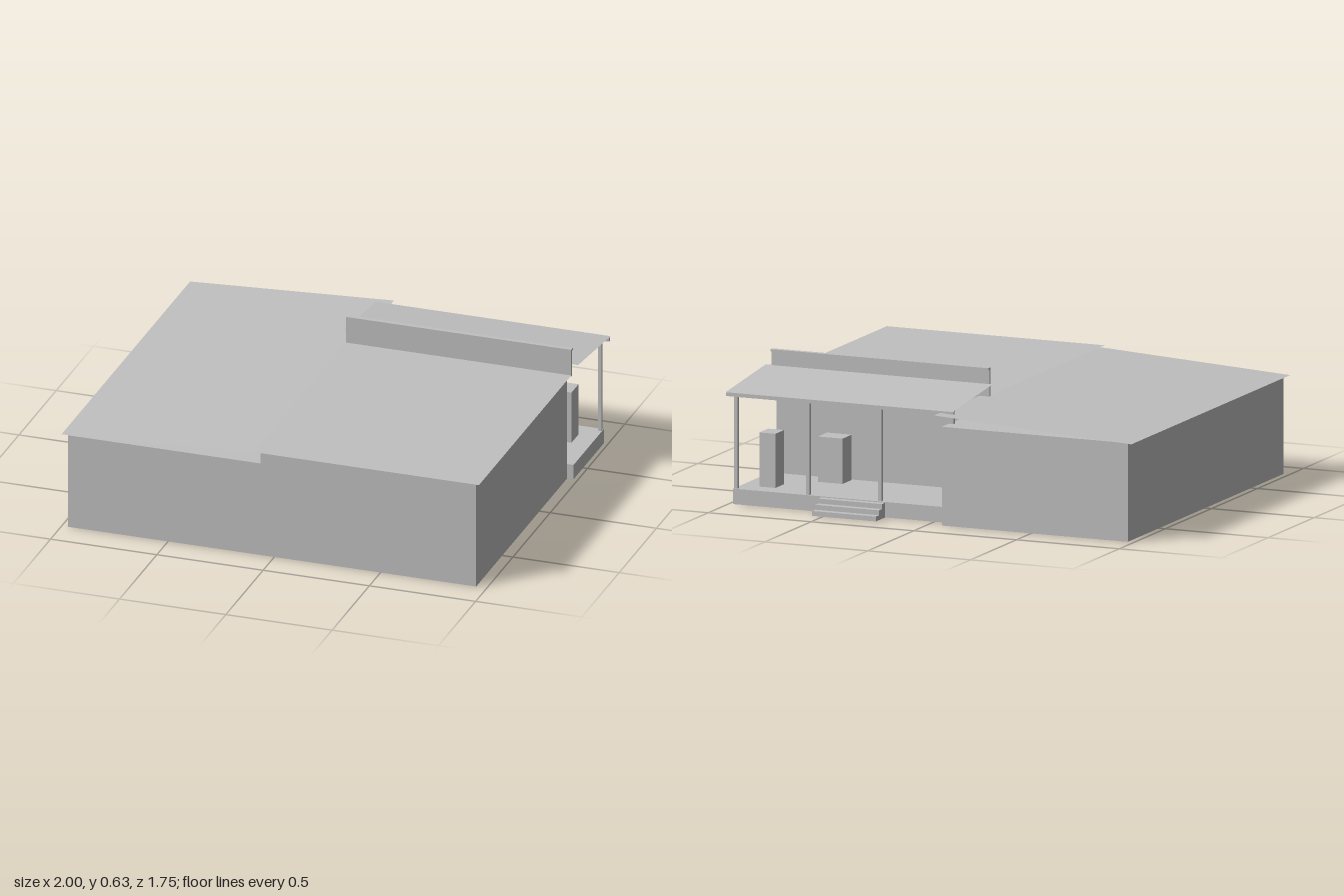
import * as THREE from 'three';

export function createModel() {
  const house = new THREE.Group();
  house.name = 'house';
  const plaster = new THREE.MeshStandardMaterial({ color: 0xc0c0c0 });
  plaster.name = 'plainGrey';
  const sheet = new THREE.MeshStandardMaterial({ color: 0xc0c0c0, side: THREE.DoubleSide });
  sheet.name = 'plainGreySheet';

  // Box given by its lower and upper limits on each axis
  function box(name, x0, x1, y0, y1, z0, z1) {
    const mesh = new THREE.Mesh(new THREE.BoxGeometry(x1 - x0, y1 - y0, z1 - z0), plaster);
    mesh.position.set((x0 + x1) / 2, (y0 + y1) / 2, (z0 + z1) / 2);
    mesh.name = name;
    house.add(mesh);
  }

  // Thin roof sheet whose height follows a rule
  function roof(name, x0, x1, z0, z1, height) {
    const geo = new THREE.PlaneGeometry(x1 - x0, z1 - z0).rotateX(-Math.PI / 2);
    geo.translate((x0 + x1) / 2, 0, (z0 + z1) / 2);
    const p = geo.attributes.position;
    for (let i = 0; i < p.count; i++) p.setY(i, height(p.getX(i), p.getZ(i)));
    geo.computeVertexNormals();
    const mesh = new THREE.Mesh(geo, sheet);
    mesh.name = name;
    house.add(mesh);
  }

  // Two wings of the house
  box('longWing', -0.97, -0.065, 0, 0.447, -0.84, 0.85);
  box('mainWing', -0.065, 0.95, 0, 0.502, -0.37, 0.85);

  // Roofs: one sloping sideways, one flat, one sloping out over the porch
  roof('longWingRoof', -1, -0.04, -0.87, 0.855, (x) => 0.449 + (x + 1) * 0.055);
  roof('mainRoof', -0.09, 0.97, -0.37, 0.87, () => 0.507);
  roof('porchRoof', -0.105, 1, -0.81, -0.375, (x, z) => 0.512 + (z + 0.81) * 0.108);

  // Parapet between main roof and porch roof
  box('parapet', -0.09, 0.97, 0.502, 0.625, -0.38, -0.367);
  box('parapetCap', -0.09, 0.97, 0.622, 0.632, -0.39, -0.367);

  // Porch floor and eaves beam
  box('porchFloor', -0.065, 0.98, 0, 0.07, -0.775, -0.37);
  box('eavesBeam', -0.105, 1, 0.493, 0.51, -0.805, -0.79);

  // Row of slim porch posts
  for (let i = 0; i < 4; i++) {
    const x = -0.08 + i * 0.35;
    box('porchPost', x - 0.008, x + 0.008, 0.07, 0.515, -0.767, -0.751);
  }

  // Three steps down from the porch
  for (let i = 0; i < 3; i++) {
    box('step', 0.24, 0.55, 0, 0.066 - i * 0.022, -0.809 - i * 0.033, -0.775);
  }

  // Two upright blocks standing on the porch
  box('tallBlock', 0.815, 0.893, 0.07, 0.315, -0.685, -0.59);
  box('shortBlock', 0.58, 0.70, 0.07, 0.275, -0.48, -0.38);

  return house;
}
